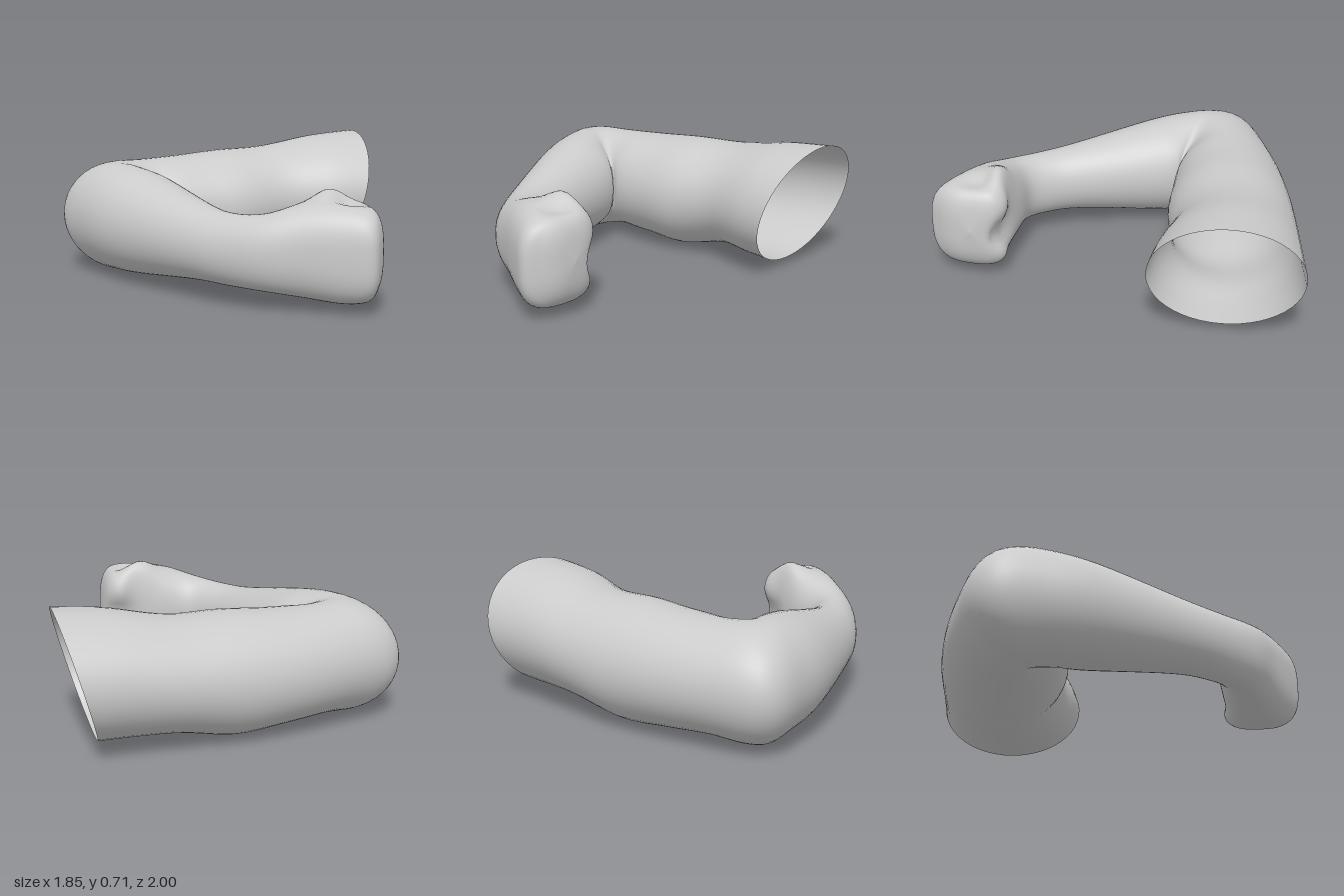
import * as THREE from 'three';

// Cross-sections from shoulder opening to knuckles:
// outer x, outer z, inner x, inner z, bottom y, top y
const UPPER_ARM = [
  [0.88, -0.92, 0.72, -0.13, 0.04, 0.71],
  [0.62, -0.945, 0.55, -0.19, 0.045, 0.69],
  [0.35, -0.975, 0.3, -0.3, 0.05, 0.64],
  [0.05, -1, 0.02, -0.31, 0, 0.635],
  [-0.25, -1, -0.18, -0.35, 0.02, 0.62],
];
const ELBOW = [
  [-0.55, -0.97, -0.33, -0.385, 0.035, 0.615],
  [-0.8, -0.92, -0.375, -0.41, 0.02, 0.62],
  [-0.91, -0.81, -0.385, -0.41, 0.01, 0.62],
  [-0.915, -0.6, -0.37, -0.385, 0.02, 0.62],
];
const FOREARM = [
  [-0.87, -0.3, -0.36, -0.27, 0.04, 0.59],
  [-0.7, 0.2, -0.355, 0.14, 0.095, 0.495],
  [-0.6, 0.43, -0.335, 0.32, 0.1, 0.475],
];
const FIST = [
  [-0.47, 0.63, -0.28, 0.44, 0.095, 0.49],
  [-0.3, 0.78, -0.14, 0.5, 0.07, 0.54],
  [-0.14, 0.92, 0, 0.55, 0.045, 0.55],
  [-0.03, 0.995, 0.1, 0.555, 0.05, 0.54],
  [0.05, 0.95, 0.145, 0.6, 0.09, 0.52],
  [0.11, 0.88, 0.16, 0.67, 0.17, 0.45],
  [0.15, 0.785, 0.152, 0.775, 0.3, 0.31],
];
const SECTIONS = UPPER_ARM.concat(ELBOW, FOREARM, FIST);
const WRIST = SECTIONS.length - FIST.length;

// Soft local pushes: centre, radius, offset
const SCULPT = [
  [[-0.03, 0.52, 0.59], 0.11, [0, 0.085, 0]],  // thumb knuckle
  [[0, 0.56, 0.72], 0.07, [0, -0.04, 0]],      // hollow behind the thumb
  [[0.11, 0.27, 0.57], 0.1, [-0.02, 0, 0.09]], // gap under the curled fingers
  [[-0.48, 0.55, -0.5], 0.1, [0, -0.03, 0]],   // elbow crease, top
  [[-0.48, 0.1, -0.5], 0.1, [0, 0.03, 0]],     // elbow crease, underside
];

const SIDES = 48;
const STEPS = 6;

// Catmull-Rom blend of whole sections
function sectionAt(t) {
  const last = SECTIONS.length - 1;
  const i = Math.min(Math.floor(t), last - 1);
  const f = t - i;
  const [a, b, c, d] = [i - 1, i, i + 1, i + 2].map((k) => SECTIONS[THREE.MathUtils.clamp(k, 0, last)]);
  return b.map((_, k) => b[k] + 0.5 * f * (c[k] - a[k]
    + f * (2 * a[k] - 5 * b[k] + 4 * c[k] - d[k] + f * (3 * (b[k] - c[k]) + d[k] - a[k]))));
}

function sculpt(p) {
  const moved = p.clone();
  for (const [centre, radius, offset] of SCULPT) {
    const d = p.distanceTo(new THREE.Vector3(...centre)) / radius;
    moved.addScaledVector(new THREE.Vector3(...offset), Math.exp(-d * d));
  }
  return moved;
}

function armGeometry() {
  const positions = [];
  const indices = [];
  const rings = (SECTIONS.length - 1) * STEPS;
  const power = (v, e) => Math.sign(v) * Math.abs(v) ** e;

  for (let j = 0; j <= rings; j++) {
    const t = j / STEPS;
    const [ox, oz, ix, iz, lo, hi] = sectionAt(t);
    // the shoulder cut slants; the fist is squarer than the arm
    const lean = 0.1 * Math.max(0, 1 - t / 2);
    const e = 1 - 0.32 * THREE.MathUtils.smoothstep(t, WRIST - 1, WRIST + 3);
    for (let k = 0; k < SIDES; k++) {
      const angle = (k / SIDES) * Math.PI * 2;
      const c = power(Math.cos(angle), e);
      const s = power(Math.sin(angle), e);
      const p = sculpt(new THREE.Vector3(
        (ox + ix) / 2 + (c * (ox - ix)) / 2 + s * lean,
        (lo + hi) / 2 + (s * (hi - lo)) / 2,
        (oz + iz) / 2 + (c * (oz - iz)) / 2,
      ));
      positions.push(p.x, p.y, p.z);
      if (j < rings) {
        const a = j * SIDES + k;
        const b = j * SIDES + ((k + 1) % SIDES);
        indices.push(a, a + SIDES, b, b, a + SIDES, b + SIDES);
      }
    }
  }
  // close the knuckle end
  const end = rings * SIDES;
  for (let k = 1; k < SIDES - 1; k++) indices.push(end, end + k + 1, end + k);

  const geometry = new THREE.BufferGeometry();
  geometry.setAttribute('position', new THREE.Float32BufferAttribute(positions, 3));
  geometry.setIndex(indices);
  geometry.computeVertexNormals();
  return geometry;
}

export function createModel() {
  const group = new THREE.Group();
  group.name = 'bentArm';
  // open at the shoulder, so both faces show
  const material = new THREE.MeshStandardMaterial({ color: 0xcccccc, side: THREE.DoubleSide });
  const arm = new THREE.Mesh(armGeometry(), material);
  arm.name = 'armWithFist';
  group.add(arm);
  return group;
}
